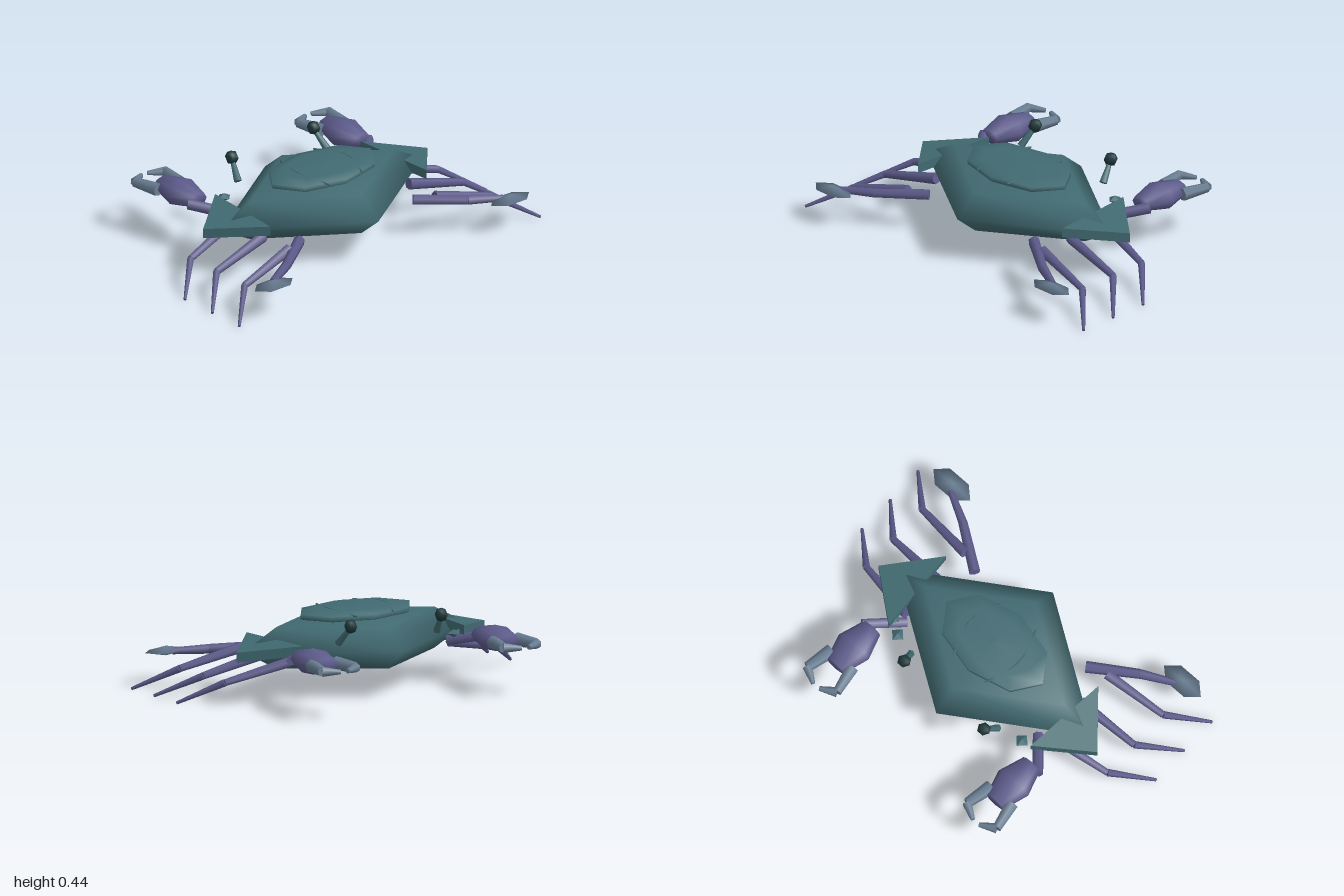
import * as THREE from 'three';

const mat = (name, color) => Object.assign(new THREE.MeshStandardMaterial({ color }), { name });

export function createModel() {
  const shell = mat('teal shell', 0x416a71);
  const dark = mat('dark eye', 0x1d3638);
  const limbColor = mat('purple limb', 0x5c5a8a);
  const pale = mat('blue grey tip', 0x687d92);
  const model = new THREE.Group();
  model.name = 'crab';

  const add = (name, geometry, material, parent = model) => {
    const mesh = new THREE.Mesh(geometry, material);
    mesh.name = name;
    parent.add(mesh);
    return mesh;
  };

  // Chain of tapered segments through points [x, y, z, radius]
  const limb = (name, points, material, sides = 6) => {
    const group = new THREE.Group();
    group.name = name;
    model.add(group);
    for (let i = 0; i < points.length - 1; i++) {
      const a = new THREE.Vector3(...points[i].slice(0, 3));
      const b = new THREE.Vector3(...points[i + 1].slice(0, 3));
      const dir = b.clone().sub(a);
      const geometry = new THREE.CylinderGeometry(points[i + 1][3], points[i][3], dir.length(), sides);
      const mesh = add(name + 'Segment', geometry, material, group);
      mesh.position.copy(a).add(b).multiplyScalar(0.5);
      mesh.quaternion.setFromUnitVectors(new THREE.Vector3(0, 1, 0), dir.normalize());
    }
    return group;
  };

  // Diamond-shaped body
  const body = add('body', new THREE.SphereGeometry(1, 4, 4), shell);
  body.scale.set(0.666, 0.15, 0.435);
  body.position.set(0, 0.25, 0.07);

  // Eight-sided raised plate on the back
  const plateProfile = [[0, 0.37], [0.96, 0.375], [1, 0.38], [1, 0.404], [0.707, 0.418], [0, 0.425]];
  const plate = add('backPlate', new THREE.LatheGeometry(
    plateProfile.map(([r, y]) => new THREE.Vector2(r, y)), 8), shell);
  plate.scale.set(0.325, 1, 0.195);
  plate.position.z = 0.07;

  for (const s of [1, -1]) {
    // Curved groove line on the plate
    const arc = new THREE.CatmullRomCurve3([
      [0.108, 0.401, -0.12], [0.13, 0.407, -0.06], [0.153, 0.415, 0], [0.163, 0.418, 0.07],
      [0.153, 0.415, 0.14], [0.13, 0.407, 0.2], [0.108, 0.401, 0.26],
    ].map(([x, y, z]) => new THREE.Vector3(s * x, y, z)));
    add('backGroove', new THREE.TubeGeometry(arc, 18, 0.005, 5), shell);

    // Side spike: triangular slab sloping down outwards
    const outline = [[0.74, 0.02], [0.48, -0.19], [0.515, 0.275]];
    const spikeGeometry = new THREE.ExtrudeGeometry(
      new THREE.Shape(outline.map(([x, z]) => new THREE.Vector2(s * x, -z))),
      { depth: 0.05, bevelEnabled: false });
    spikeGeometry.rotateX(-Math.PI / 2);
    const p = spikeGeometry.attributes.position;
    for (let i = 0; i < p.count; i++) p.setY(i, p.getY(i) + 0.25 - 0.16 * (Math.abs(p.getX(i)) - 0.51));
    spikeGeometry.computeVertexNormals();
    add('sideSpike', spikeGeometry, shell);

    // Small teeth along the front edge
    for (const [x, y, z] of [[0.42, 0.27, -0.19], [0.5, 0.265, -0.135]]) {
      const tooth = add('edgeTooth', new THREE.OctahedronGeometry(0.038), shell);
      tooth.scale.y = 0.55;
      tooth.position.set(s * x, y, z);
    }

    // Eye on a stalk
    limb('eyeStalk', [[s * 0.295, 0.305, -0.23, 0.02], [s * 0.27, 0.395, -0.305, 0.011]], shell);
    const eye = add('eye', new THREE.SphereGeometry(0.036, 6, 4), dark);
    eye.position.set(s * 0.27, 0.402, -0.307);

    // Claw: arm, palm and two bent fingers
    limb('clawArm', [[s * 0.445, 0.215, -0.095, 0.028], [s * 0.595, 0.258, -0.265, 0.028]], limbColor);
    const palmProfile = [[0, 0], [0.056, 0], [0.1, 0.135], [0.06, 0.272], [0, 0.272]];
    const palmGeometry = new THREE.LatheGeometry(
      palmProfile.map(([r, y]) => new THREE.Vector2(r, y)), 8);
    palmGeometry.rotateX(-Math.PI / 2);
    const palm = add('clawPalm', palmGeometry, limbColor);
    palm.scale.y = 0.67;
    palm.position.set(s * 0.54, 0.267, -0.25);
    for (const side of [1, -1]) {
      const x = (d) => s * 0.54 + side * d;
      limb('clawFinger', [
        [x(0.07), 0.267, -0.475, 0.036],
        [x(0.1), 0.267, -0.62, 0.026],
        [x(0.02), 0.265, -0.665, 0.012],
      ], pale);
    }

    // Three walking legs
    for (const [hip, knee, foot] of [[-0.06, 0.012, 0.178], [0.18, 0.212, 0.388], [0.378, 0.428, 0.595]]) {
      limb('walkingLeg', [
        [s * 0.48, 0.2, hip, 0.029],
        [s * 0.815, 0.12, knee, 0.019],
        [s * 0.995, 0.008, foot, 0.008],
      ], limbColor);
    }

    // Swimming leg with a flat paddle
    limb('swimmingLeg', [
      [s * 0.375, 0.2, 0.335, 0.03],
      [s * 0.6, 0.185, 0.495, 0.025],
      [s * 0.76, 0.178, 0.58, 0.018],
    ], limbColor);
    const paddle = add('swimmingPaddle', new THREE.SphereGeometry(1, 6, 2), pale);
    paddle.scale.set(0.125, 0.025, 0.066);
    paddle.position.set(s * 0.78, 0.177, 0.61);
  }
  return model;
}
